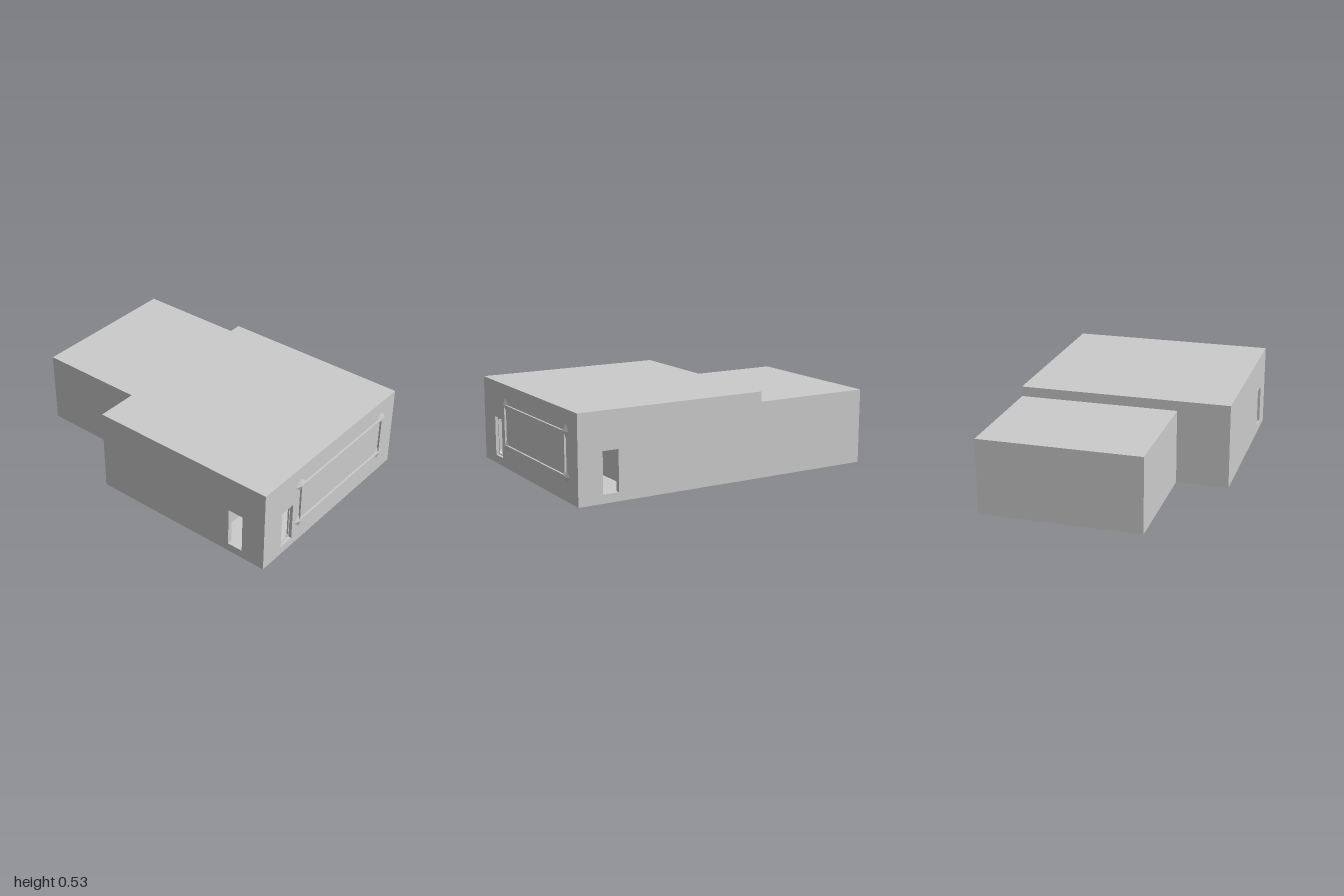
import * as THREE from 'three';

const material = new THREE.MeshStandardMaterial({ color: 0xcccccc, flatShading: true });

// Main block limits, wall thickness and inner room limits
const HALF_W = 0.665, TOP = 0.533, BACK = -0.24, FRONT = 0.985, WALL = 0.03;
const ROOM = { floor: 0.05, ceiling: 0.36, back: 0.63 };

function add(group, name, geometry, x = 0, y = 0, z = 0) {
  const mesh = new THREE.Mesh(geometry, material);
  mesh.name = name;
  mesh.position.set(x, y, z);
  group.add(mesh);
  return mesh;
}

// Box given by its minimum and maximum corners
function block(group, name, [x0, y0, z0], [x1, y1, z1]) {
  return add(group, name, new THREE.BoxGeometry(x1 - x0, y1 - y0, z1 - z0),
    (x0 + x1) / 2, (y0 + y1) / 2, (z0 + z1) / 2);
}

// Rectangle outline with optionally cut corners
function rectPoints(x0, y0, x1, y1, cut = 0) {
  const points = cut === 0
    ? [[x0, y0], [x1, y0], [x1, y1], [x0, y1]]
    : [[x0 + cut, y0], [x1 - cut, y0], [x1, y0 + cut], [x1, y1 - cut],
      [x1 - cut, y1], [x0 + cut, y1], [x0, y1 - cut], [x0, y0 + cut]];
  return points.map(([x, y]) => new THREE.Vector2(x, y));
}

// Flat panel with one opening
function panel(outer, hole, depth) {
  const shape = new THREE.Shape(outer);
  shape.holes.push(new THREE.Path(hole));
  return new THREE.ExtrudeGeometry(shape, { depth, bevelEnabled: false });
}

export function createModel() {
  const model = new THREE.Group();
  model.name = 'building';

  // Lower rear wing
  block(model, 'rearWing', [-0.335, 0, -1], [HALF_W, 0.47, BACK]);

  // Main block: solid core, floor and roof around the front room
  const inner = HALF_W - WALL;
  block(model, 'core', [-inner, 0, BACK], [inner, TOP, ROOM.back]);
  block(model, 'floor', [-inner, 0, ROOM.back], [inner, ROOM.floor, FRONT - WALL]);
  block(model, 'roof', [-inner, ROOM.ceiling, ROOM.back], [inner, TOP, FRONT - WALL]);

  // Side walls, each with a window
  const sideGeometry = panel(rectPoints(BACK, 0, FRONT, TOP), rectPoints(0.73, 0.053, 0.83, 0.303), WALL);
  for (const [name, x] of [['leftWall', HALF_W], ['rightWall', -inner]]) {
    add(model, name, sideGeometry, x).rotation.y = -Math.PI / 2;
  }

  // Front wall with the doorway and its inner frame
  add(model, 'frontWall', panel(rectPoints(-inner, 0, inner, TOP),
    rectPoints(-0.498, 0.053, -0.393, 0.303), WALL), 0, 0, FRONT - WALL);
  add(model, 'doorFrame', panel(rectPoints(-0.498, 0.053, -0.393, 0.303),
    rectPoints(-0.491, 0.06, -0.4, 0.297, 0.014), 0.01), 0, 0, FRONT - WALL);

  // Sign border on the front: thin bars joined by diamond studs
  const sign = new THREE.Group();
  sign.name = 'signBorder';
  model.add(sign);
  const [x0, x1, y0, y1] = [-0.325, 0.518, 0.149, 0.404];
  const bar = 0.005;
  for (const y of [y0, y1]) {
    block(sign, 'horizontalBar', [x0, y - bar, FRONT - 0.005], [x1, y + bar, 0.997]);
  }
  for (const x of [x0, x1]) {
    block(sign, 'verticalBar', [x - bar, y0, FRONT - 0.005], [x + bar, y1, 0.997]);
  }
  const studGeometry = new THREE.ConeGeometry(0.045, 0.015, 4).rotateX(Math.PI / 2);
  for (const x of [x0, x1]) {
    for (const y of [y0 - 0.003, y1 + 0.003]) add(sign, 'cornerStud', studGeometry, x, y, FRONT + 0.0075);
  }

  return model;
}
